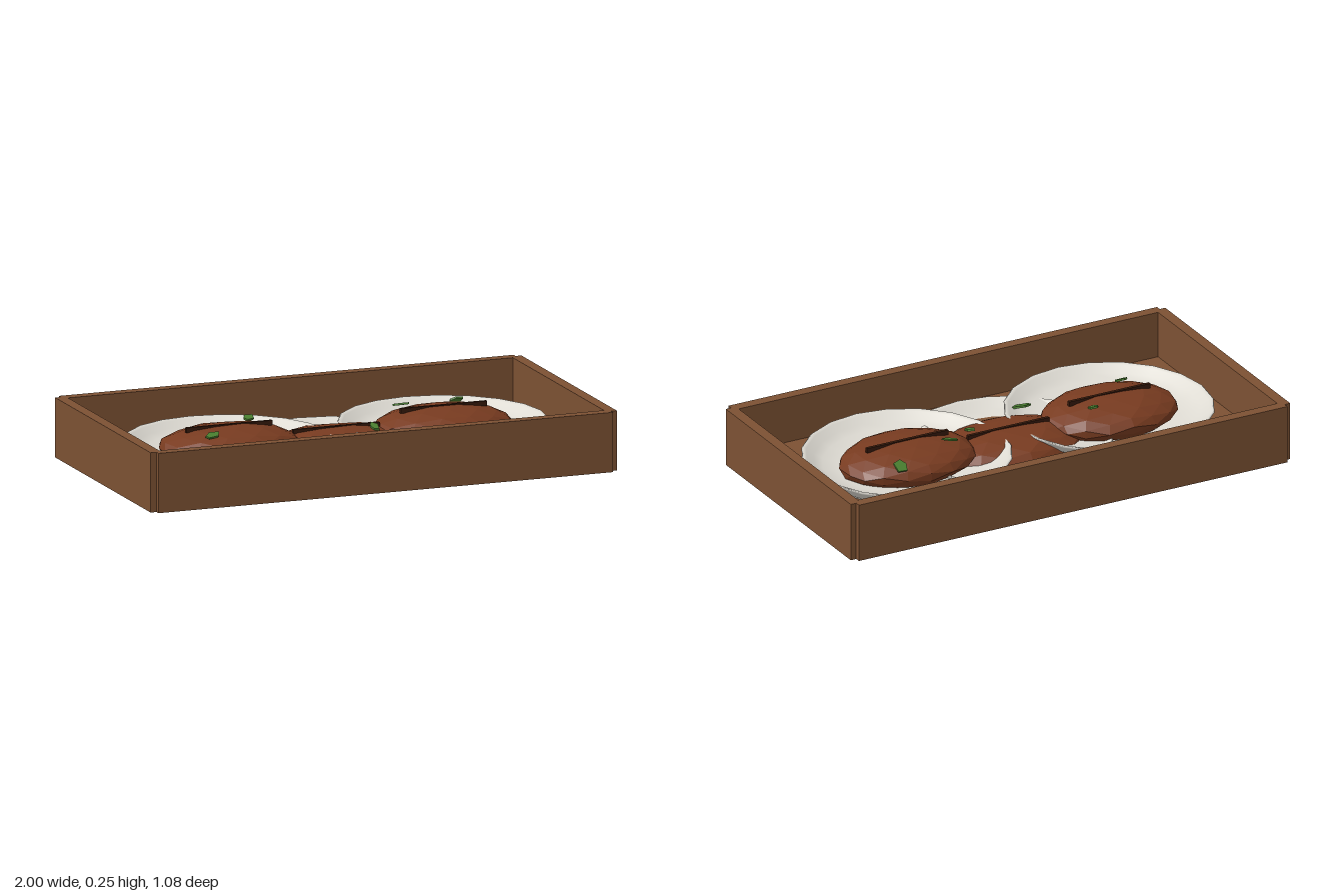
import * as THREE from 'three';

const mat = (name, color, extra = {}) => {
  const m = new THREE.MeshStandardMaterial({ color, ...extra });
  m.name = name;
  return m;
};

export function createModel() {
  const wood = mat('wood', 0x7c5133);
  const ceramic = mat('ceramic', 0xdedbd3, { side: THREE.DoubleSide });
  const crust = mat('crust', 0x783b20, { flatShading: true });
  const score = mat('darkScore', 0x35190b);
  const herb = mat('herb', 0x4a8030, { side: THREE.DoubleSide });
  const model = new THREE.Group();

  const add = (parent, name, geometry, material, x = 0, y = 0, z = 0) => {
    const mesh = new THREE.Mesh(geometry, material);
    mesh.name = name;
    mesh.position.set(x, y, z);
    parent.add(mesh);
    return mesh;
  };

  // Tray: floor and four walls, with small notches at the corners
  const tray = new THREE.Group();
  tray.name = 'tray';
  model.add(tray);
  add(tray, 'trayFloor', new THREE.BoxGeometry(1.95, 0.05, 1.03), wood, 0, 0.025, 0);
  for (const s of [-1, 1]) {
    add(tray, s > 0 ? 'frontWall' : 'backWall',
      new THREE.BoxGeometry(1.95, 0.245, 0.046), wood, 0, 0.1225, s * 0.517);
    add(tray, s > 0 ? 'leftWall' : 'rightWall',
      new THREE.BoxGeometry(0.046, 0.245, 1.036), wood, s * 0.977, 0.1225, 0);
  }

  // Shallow plate, listed from the centre of the base round the rim to the inside
  const profile = [
    [0, -0.001], [0.3, -0.001], [0.31, 0.002], [0.37, 0.04], [0.416, 0.084], [0.424, 0.092],
    [0.418, 0.097], [0.405, 0.09], [0.375, 0.069], [0.34, 0.051], [0.28, 0.04], [0.18, 0.03], [0, 0.025],
  ].map(([r, y]) => new THREE.Vector2(r, y));
  const plateGeometry = new THREE.LatheGeometry(profile, 20);

  // Faceted loaf: an uneven ellipsoid with a flattened underside
  const loafGeometry = (rx, rz, seed) => {
    const g = new THREE.IcosahedronGeometry(1, 2);
    const p = g.attributes.position;
    for (let i = 0; i < p.count; i++) {
      const x = p.getX(i), y = p.getY(i), z = p.getZ(i);
      const k = 1 + 0.025 * Math.sin(7 * x + 5 * z + seed) * Math.cos(6 * y - 4 * z + seed);
      p.setXYZ(i, x * rx * k, Math.max(y * 0.083 * k, -0.045), z * rz * k);
    }
    g.computeVertexNormals();
    return g;
  };

  // Three servings; the outer two rest over the middle one
  const servings = [['middle', 0, 0.001, 0.32], ['left', 0.46, 0.048, 0.292], ['right', -0.46, 0.048, 0.292]];
  servings.forEach(([label, x, y, rx], i) => {
    const serving = new THREE.Group();
    serving.name = label + 'Serving';
    serving.position.set(x, y, 0);
    model.add(serving);
    add(serving, 'plate', plateGeometry, ceramic);
    add(serving, 'loaf', loafGeometry(rx, 0.212, i * 1.7), crust, 0, 0.071, 0);
    add(serving, 'topScore', new THREE.BoxGeometry(0.37, 0.02, 0.014), score, 0, 0.146, 0);
  });

  // Herb scraps: x, y, z, length, width, turn, tilt
  const herbs = [
    [-0.34, 0.197, -0.09, 0.05, 0.04, 0.4, 0.3],
    [-0.57, 0.187, 0.105, 0.07, 0.035, 0.3, 0.4],
    [-0.17, 0.122, 0.2, 0.08, 0.055, -0.2, 0.3],
    [0.145, 0.15, 0.05, 0.035, 0.06, 0.1, 0.3],
    [0.58, 0.172, -0.165, 0.055, 0.06, 0.5, -0.6],
    [0.31, 0.197, -0.08, 0.065, 0.012, -0.4, -0.3],
  ];
  for (const [x, y, z, w, d, turn, tilt] of herbs) {
    const scrap = new THREE.Shape([[-0.5, 0.1], [-0.1, 0.5], [0.5, 0.15], [0.2, -0.5], [-0.4, -0.4]]
      .map(([a, b]) => new THREE.Vector2(a * w, b * d)));
    const g = new THREE.ExtrudeGeometry(scrap, { depth: 0.008, bevelEnabled: false });
    g.rotateX(-Math.PI / 2);
    add(model, 'herbScrap', g, herb, x, y, z).rotation.set(tilt, turn, 0);
  }

  // Two small beads on the left plate
  for (const [x, z] of [[0.258, 0.222], [0.285, 0.2]]) {
    add(model, 'bead', new THREE.SphereGeometry(0.018, 12, 8), ceramic, x, 0.107, z);
  }
  return model;
}
